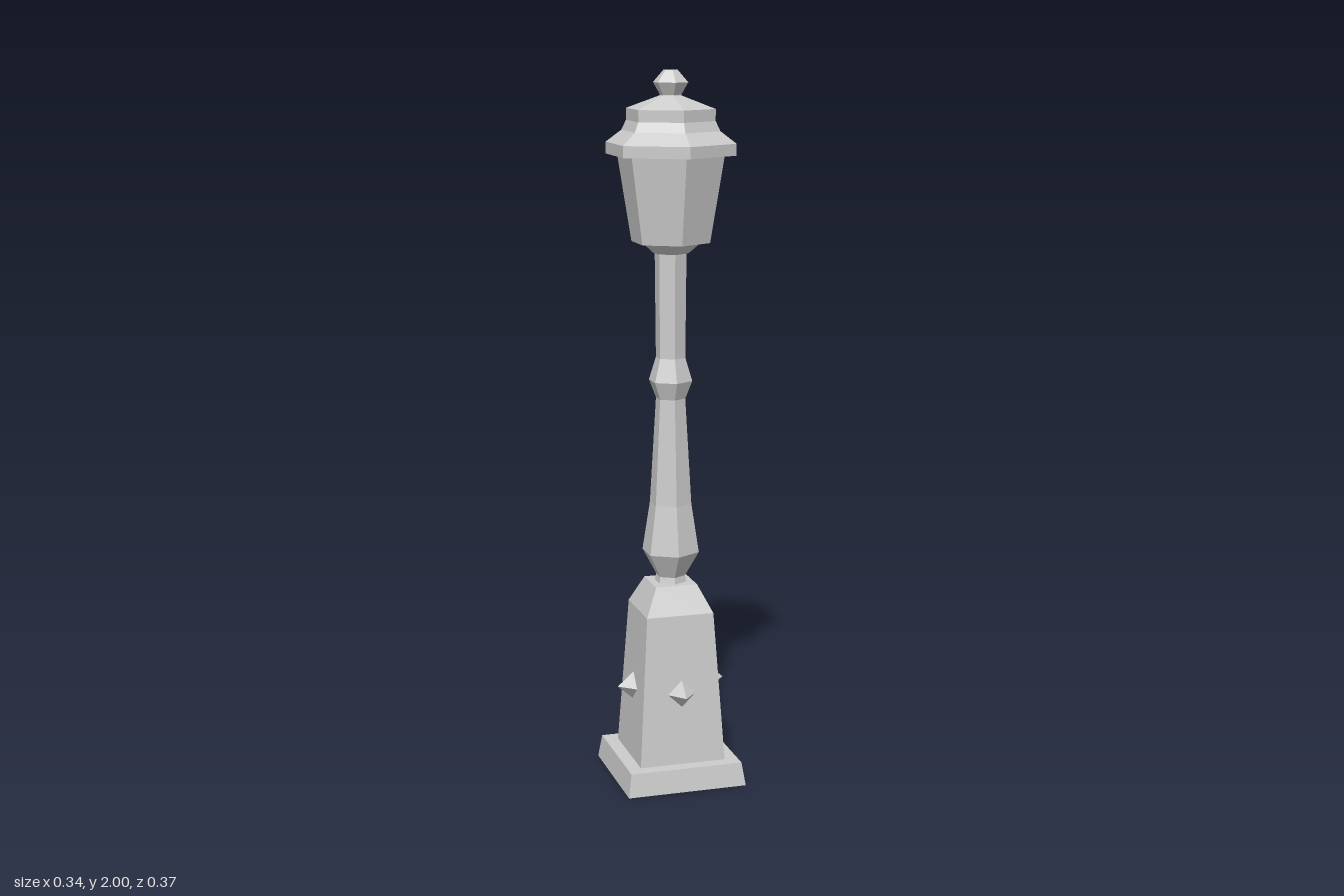
import * as THREE from 'three';

const material = new THREE.MeshStandardMaterial({ color: 0xcccccc, flatShading: true });

// Faceted solid from a [radius, height] profile, listed bottom to top
function turned(name, sides, profile, phiStart = 0) {
  const points = profile.map(([r, y]) => new THREE.Vector2(r, y));
  const mesh = new THREE.Mesh(new THREE.LatheGeometry(points, sides, phiStart), material);
  mesh.name = name;
  return mesh;
}

// Square solid: the profile gives half widths
const square = (name, profile) =>
  turned(name, 4, profile.map(([h, y]) => [h * Math.SQRT2, y]), Math.PI / 4);

// Hexagonal solid with corners on the z axis
const hexagonal = (name, profile) => turned(name, 6, profile);

export function createModel() {
  const lamp = new THREE.Group();
  lamp.name = 'streetLamp';

  // Square foot and tapered pedestal
  lamp.add(square('plinth', [[0, 0], [0.172, 0], [0.162, 0.066], [0, 0.066]]));
  lamp.add(square('pedestal', [[0.124, 0.066], [0.097, 0.495], [0.06, 0.572], [0, 0.572]]));

  // One pointed stud on each pedestal face
  const studGeometry = new THREE.OctahedronGeometry(0.04).scale(1, 1, 1.15);
  for (let i = 0; i < 4; i++) {
    const angle = (i * Math.PI) / 2;
    const stud = new THREE.Mesh(studGeometry, material);
    stud.name = 'stud';
    stud.position.set(Math.sin(angle) * 0.111, 0.27, Math.cos(angle) * 0.111);
    stud.rotation.y = angle;
    lamp.add(stud);
  }

  // Post with a lower bulge and a collar
  lamp.add(hexagonal('post', [
    [0.046, 0.572], [0.042, 0.59], [0.082, 0.66], [0.06, 0.8], [0.042, 1.1],
    [0.062, 1.15], [0.042, 1.215], [0.045, 1.51],
  ]));

  // Lantern: holder, glass body, stepped roof and finial
  lamp.add(hexagonal('lanternHolder', [[0, 1.505], [0.05, 1.505], [0.085, 1.535]]));
  lamp.add(hexagonal('lanternBody', [[0, 1.535], [0.111, 1.535], [0.151, 1.775]]));
  lamp.add(hexagonal('roof', [
    [0, 1.773], [0.183, 1.773], [0.183, 1.805], [0.138, 1.838],
    [0.125, 1.865], [0.125, 1.897], [0.03, 1.932],
  ]));
  lamp.add(hexagonal('finial', [
    [0.03, 1.925], [0.03, 1.934], [0.049, 1.967], [0.02, 2], [0, 2],
  ]));

  return lamp;
}
